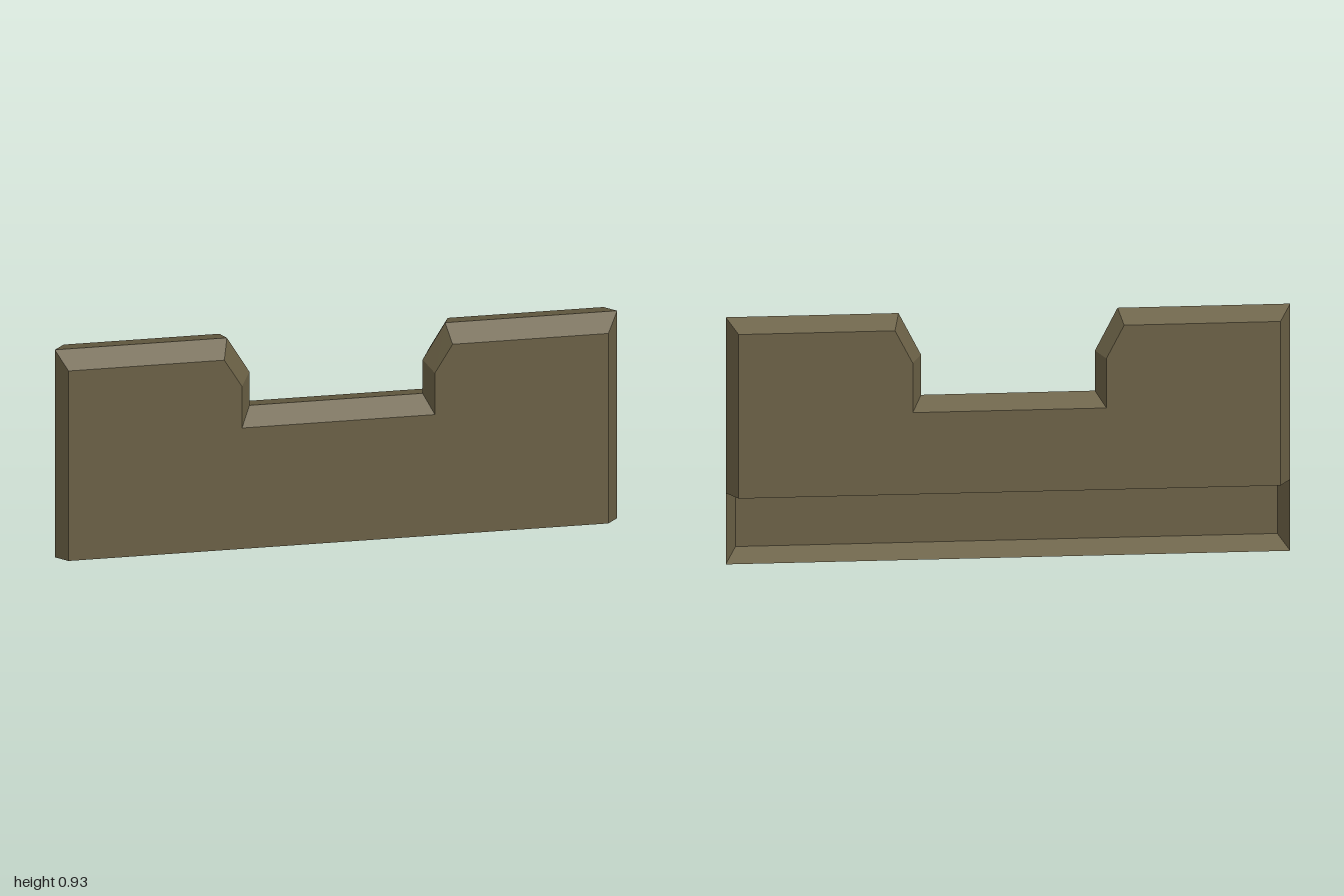
import * as THREE from 'three';

const HALF_DEPTH = 0.077;

// Counter-clockwise outline from the right half, ordered bottom to notch, mirrored in x.
const mirrored = (half) => [
  ...half,
  ...half.map(([x, y]) => [-x, y]).reverse(),
].map(([x, y]) => new THREE.Vector2(x, y));

// Notched plate outline: the widest line at mid depth and the smaller face edge.
const rim = (bottom) => mirrored([[1, bottom], [1, 0.925], [0.388, 0.925], [0.308, 0.767], [0.308, 0.617]]);
const face = (bottom) => mirrored([[0.96, bottom], [0.96, 0.886], [0.406, 0.886], [0.343, 0.763], [0.343, 0.578]]);

function meshFrom(name, triangles, material) {
  const geometry = new THREE.BufferGeometry().setFromPoints(triangles);
  geometry.computeVertexNormals();
  const mesh = new THREE.Mesh(geometry, material);
  mesh.name = name;
  return mesh;
}

// One half of the hollow shell: a flat face and a ring of bevels reaching mid depth.
function halfShell(name, outer, inner, z, openBottom, material) {
  const group = new THREE.Group();
  group.name = name;
  const flip = z < 0;
  const at = (p, depth) => new THREE.Vector3(p.x, p.y, depth);
  const add = (list, a, b, c) => list.push(...(flip ? [a, c, b] : [a, b, c]));

  const panel = [];
  for (const [a, b, c] of THREE.ShapeUtils.triangulateShape(inner, [])) {
    add(panel, at(inner[a], z), at(inner[b], z), at(inner[c], z));
  }
  group.add(meshFrom(name + 'Face', panel, material));

  const bevels = [];
  const count = outer.length;
  // The last segment is the bottom edge, left out where the shell is open.
  for (let i = 0; i < (openBottom ? count - 1 : count); i++) {
    const j = (i + 1) % count;
    const a = at(outer[i], 0), b = at(outer[j], 0);
    const c = at(inner[j], z), d = at(inner[i], z);
    add(bevels, a, b, c);
    add(bevels, a, c, d);
  }
  group.add(meshFrom(name + 'Bevels', bevels, material));
  return group;
}

export function createModel() {
  const model = new THREE.Group();
  model.name = 'notchedPlate';
  const olive = new THREE.MeshStandardMaterial({ color: 0x6b6146, side: THREE.DoubleSide });
  olive.name = 'oliveBrown';

  // Full-height front half, and a shorter back half that leaves the lower strip open.
  model.add(halfShell('front', rim(0), face(0.039), HALF_DEPTH, false, olive));
  model.add(halfShell('back', rim(0.267), face(0.272), -HALF_DEPTH, true, olive));
  return model;
}
